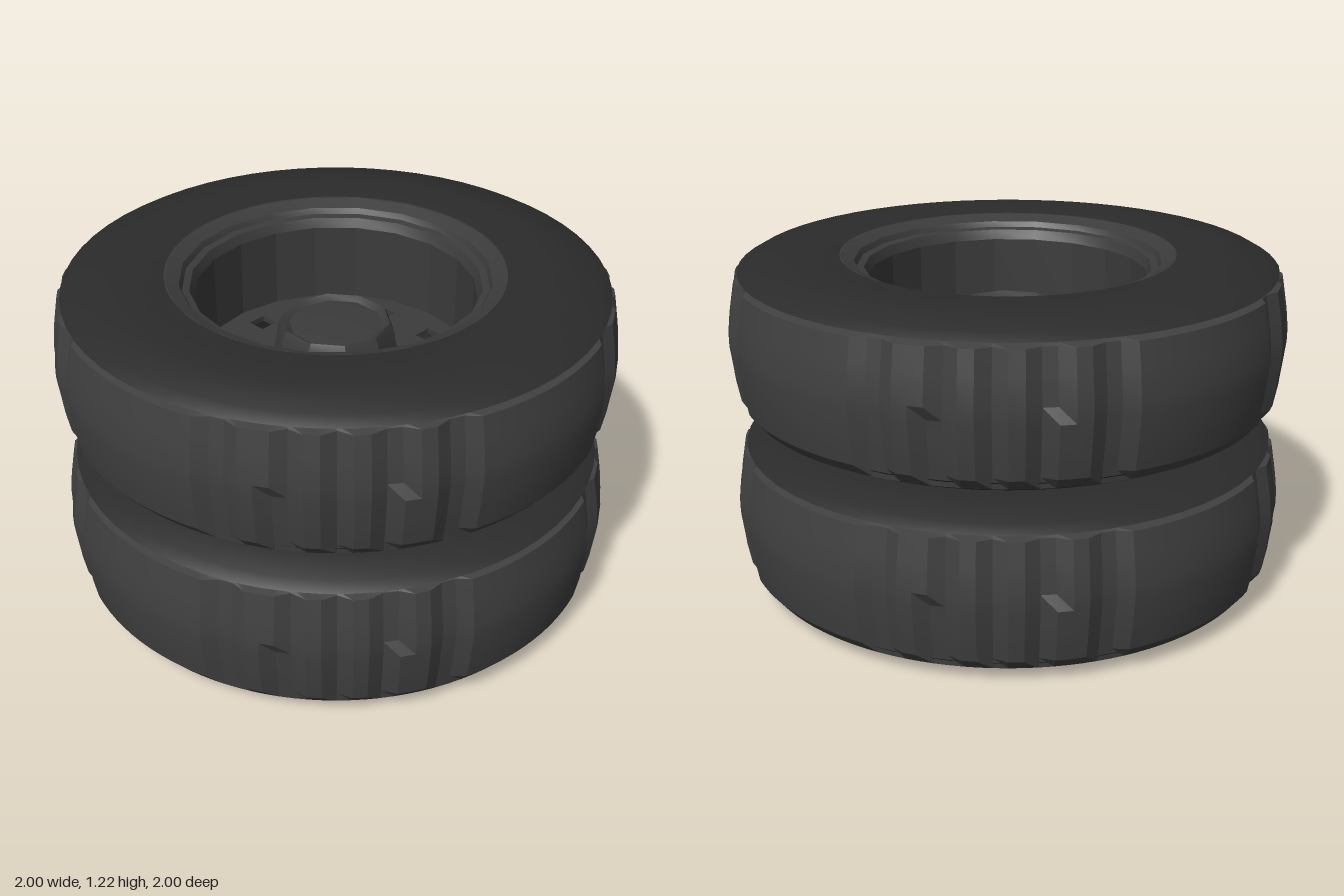
import * as THREE from 'three';
import { toCreasedNormals } from 'three/addons/utils/BufferGeometryUtils.js';

const sideMat = new THREE.MeshStandardMaterial({ color: 0x2b2b2b });
const treadMat = new THREE.MeshStandardMaterial({ color: 0x404040 });
const rimMat = new THREE.MeshStandardMaterial({ color: 0x3b3b3b, side: THREE.DoubleSide });
const SEG = 120;
const QUARTER = SEG / 4;

function lathe(points, segments) {
  return new THREE.LatheGeometry(points.map(([r, y]) => new THREE.Vector2(r, y)), segments);
}

function addMesh(parent, name, geometry, material, y = 0) {
  const mesh = new THREE.Mesh(geometry, material);
  mesh.name = name;
  mesh.position.y = y;
  parent.add(mesh);
}

// Tread band: a wide plain block on each axis, with groups of grooves on the diagonals
function treadGeometry() {
  const profile = [
    [0.94, 0.05], [0.972, 0.09], [0.987, 0.17], [0.99, 0.2], [1.0, 0.28], [1.0, 0.33],
    [0.992, 0.4], [0.987, 0.43], [0.972, 0.515], [0.93, 0.523],
  ];
  const geo = lathe(profile, SEG);
  const pos = geo.attributes.position;
  for (let i = 0; i < pos.count; i++) {
    const row = i % profile.length;
    const k = Math.floor(i / profile.length) % QUARTER;
    const full = [7, 8, 15, 22, 23].includes(k);
    const low = [11, 12, 18].includes(k) && row <= 4;
    const high = [12, 18, 19].includes(k) && row >= 5;
    if (row > 0 && row < 9 && (full || low || high)) {
      pos.setX(i, pos.getX(i) * 0.973);
      pos.setZ(i, pos.getZ(i) * 0.973);
    }
  }
  return toCreasedNormals(geo, 0.3);
}

// Wheel disc with ten square vent holes
function discGeometry() {
  const shape = new THREE.Shape();
  shape.absarc(0, 0, 0.51, 0, Math.PI * 2, false);
  const s = 0.035;
  for (let i = 0; i < 10; i++) {
    const a = i * Math.PI / 5 + Math.PI / 2;
    const x = 0.39 * Math.cos(a), y = 0.39 * Math.sin(a);
    shape.holes.push(new THREE.Path([[-s, -s], [-s, s], [s, s], [s, -s]]
      .map(([u, v]) => new THREE.Vector2(x + u, y + v))));
  }
  const geo = new THREE.ExtrudeGeometry(shape, { depth: 0.02, bevelEnabled: false, curveSegments: 16 });
  return geo.rotateX(-Math.PI / 2);
}

function wheel(name, y, rimProfile, discY) {
  const group = new THREE.Group();
  group.name = name;
  group.position.y = y;
  const lowerSide = lathe([[0.565, 0.03], [0.62, 0.01], [0.74, 0], [0.82, 0.008], [0.9, 0.03], [0.95, 0.075]], 60);
  // The upper sidewall overhangs a thin slot above the tread
  const upperSide = lathe([
    [0.93, 0.517], [0.93, 0.528], [0.96, 0.532], [0.92, 0.555], [0.8, 0.579], [0.73, 0.583], [0.6, 0.572],
  ], 60);
  addMesh(group, 'lowerSidewall', toCreasedNormals(lowerSide, 0.4), sideMat);
  addMesh(group, 'tread', treadGeometry(), treadMat);
  addMesh(group, 'upperSidewall', toCreasedNormals(upperSide, 0.4), sideMat);
  addMesh(group, 'rim', toCreasedNormals(lathe(rimProfile, 20), 0.3), rimMat);
  addMesh(group, 'disc', discGeometry(), rimMat, discY);
  return group;
}

export function createModel() {
  const model = new THREE.Group();
  model.name = 'dualWheel';

  // Lower wheel opens downward, upper wheel opens upward
  model.add(wheel('lowerWheel', 0,
    [[0.63, 0.565], [0.57, 0.55], [0.52, 0.53], [0.51, 0.5], [0.53, 0.44], [0.56, 0.1], [0.572, 0.022]], 0.51));
  model.add(wheel('upperWheel', 0.632,
    [[0.63, 0.568], [0.6, 0.57], [0.55, 0.55], [0.54, 0.53], [0.515, 0.525], [0.5, 0.49], [0.5, 0.18],
      [0.55, 0.1], [0.572, 0.022]], 0.18));

  // Central hub joining both discs
  const hub = lathe([
    [0, 0.48], [0.2, 0.48], [0.22, 0.51], [0.36, 0.53], [0.32, 0.58], [0.26, 0.64], [0.26, 0.82],
    [0.225, 0.87], [0.21, 0.97], [0.195, 1.0], [0.17, 0.985], [0, 1.0],
  ], 10);
  addMesh(model, 'hub', toCreasedNormals(hub, 0.4), rimMat);

  return model;
}
